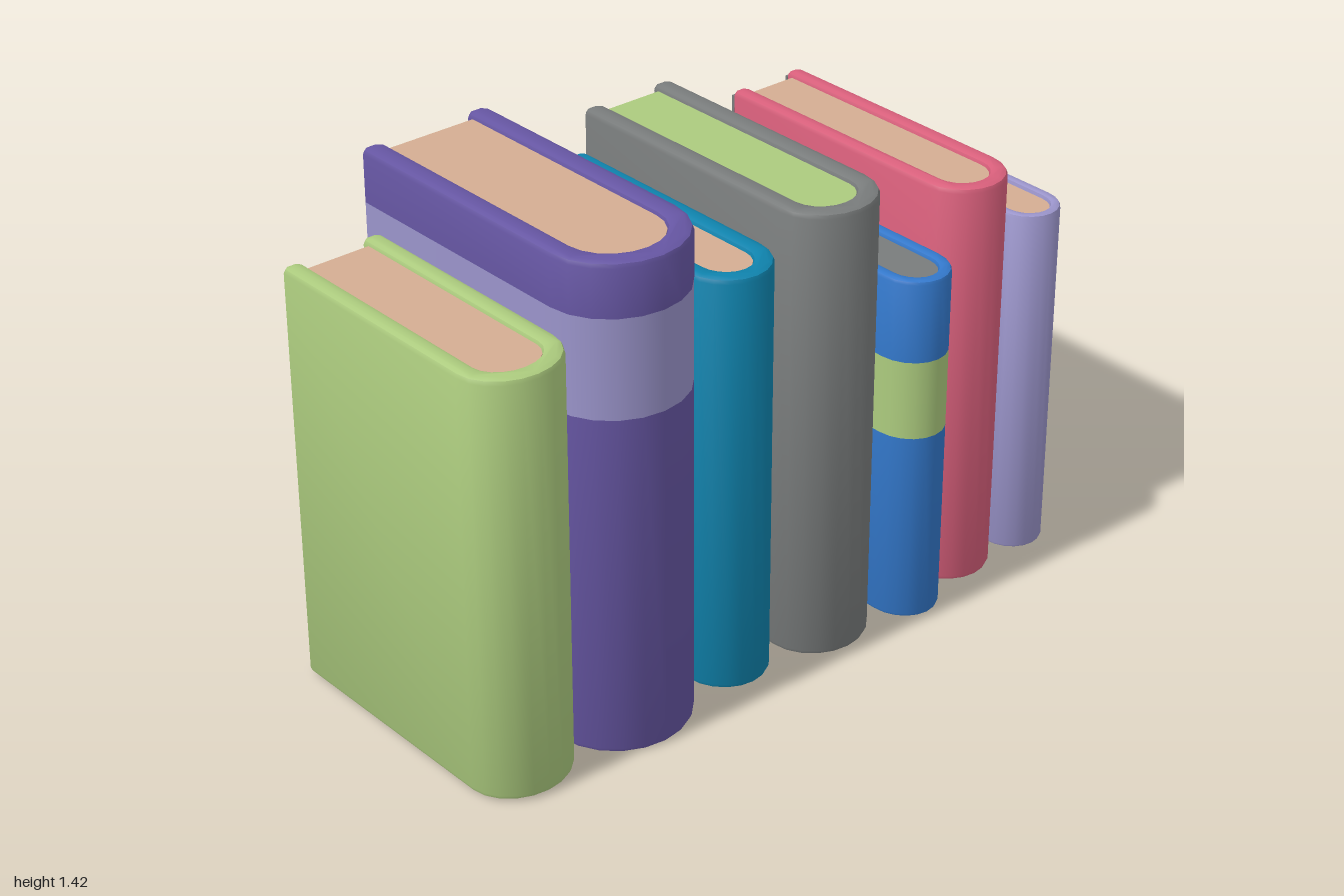
import * as THREE from 'three';
import { toCreasedNormals } from 'three/addons/utils/BufferGeometryUtils.js';

const COLORS = {
  green: 0xaccb7e, purple: 0x6656a3, lavender: 0x9a94ca, teal: 0x0f83ad, grey: 0x797c7c,
  blue: 0x3378cb, pink: 0xd85f7b, paper: 0xd4ad92, agedPaper: 0xcb8e66,
};

// Stack of cross-sections closed by caps; each level is { y, ring, mat }, mat colours the span up to it
function loft(levels, materials) {
  const pos = [], groups = [], used = [];
  const slot = (name) => {
    if (!used.includes(name)) used.push(name);
    return used.indexOf(name);
  };
  const put = (level, i) => pos.push(level.ring[i].x, level.y, level.ring[i].y);
  const span = (name, fill) => {
    const start = pos.length / 3;
    fill();
    groups.push([start, pos.length / 3 - start, slot(name)]);
  };
  const cap = (level, flip) => THREE.ShapeUtils.triangulateShape(level.ring, []).forEach(([a, b, c]) => {
    (flip ? [a, c, b] : [a, b, c]).forEach((i) => put(level, i));
  });
  const n = levels[0].ring.length, last = levels[levels.length - 1];
  span(levels[0].mat, () => cap(levels[0], false));
  for (let k = 1; k < levels.length; k++) {
    const lo = levels[k - 1], hi = levels[k];
    span(hi.mat, () => {
      for (let i = 0; i < n; i++) {
        const j = (i + 1) % n;
        put(lo, i); put(hi, i); put(hi, j);
        put(lo, i); put(hi, j); put(lo, j);
      }
    });
  }
  span(last.mat, () => cap(last, true));
  const geo = new THREE.BufferGeometry();
  geo.setAttribute('position', new THREE.Float32BufferAttribute(pos, 3));
  groups.forEach((g) => geo.addGroup(...g));
  return new THREE.Mesh(toCreasedNormals(geo, 0.65), used.map((name) => materials[name]));
}

// Half ellipse of the spine, from +x round the front to -x
function spineArc(w, zs, d) {
  const pts = [];
  for (let i = 0; i <= 10; i++) {
    const a = (i / 10) * Math.PI;
    pts.push(new THREE.Vector2(w * Math.cos(a), zs + d * Math.sin(a)));
  }
  return pts;
}

// U-shaped cover section, shrunk on every side by an inset
function coverRing(b, inset) {
  const V = (x, z) => new THREE.Vector2(x, z);
  const w = b.w - inset, wi = b.w - b.t + inset, zb = b.zb + inset, c = b.t * 0.2;
  const zs = b.zf - b.d;
  return [
    V(w, zb + c), ...spineArc(w, zs, b.d - inset), V(-w, zb + c), V(-w + c, zb),
    V(-wi - c, zb), V(-wi, zb + c), ...spineArc(wi, zs, b.d - b.t + inset).reverse(),
    V(wi, zb + c), V(wi + c, zb), V(w - c, zb),
  ];
}

function pageRing(b, inset = 0) {
  const w = b.w - b.t, zb = b.pageBack + inset;
  return [new THREE.Vector2(w, zb), ...spineArc(w, b.zf - b.d, b.d - b.t), new THREE.Vector2(-w, zb)];
}

function makeBook(b, materials) {
  const book = new THREE.Group();
  b.w = (b.x1 - b.x0) / 2;
  const bevel = Math.min(0.015, b.t * 0.3), y0 = b.y0 ?? 0.005;

  // Cover with softened top and bottom edges and an optional band
  const level = (y, inset, mat = b.color) => ({ y, ring: coverRing(b, inset), mat });
  const levels = [level(y0, bevel), level(y0 + bevel * 0.3, bevel * 0.3), level(y0 + bevel, 0)];
  if (b.band) levels.push(level(b.band[0], 0), level(b.band[1], 0, b.band[2]));
  levels.push(level(b.h - bevel, 0), level(b.h - bevel * 0.3, bevel * 0.3), level(b.h, bevel));
  const cover = loft(levels, materials);
  cover.name = 'cover';

  // Page block, coloured in layers from the bottom up
  const pages = loft([
    { y: y0 + 0.003, ring: pageRing(b), mat: b.under ?? b.pages[0][1] },
    ...b.pages.map(([y, mat]) => ({ y, ring: pageRing(b), mat })),
    { y: b.h - 0.012, ring: pageRing(b, 0.012), mat: b.pages[b.pages.length - 1][1] },
  ], materials);
  pages.name = 'pages';
  book.add(cover, pages);

  // Thin edging on the open ends of the cover
  if (b.edging) {
    for (const side of [-1, 1]) {
      const plate = new THREE.Mesh(
        new THREE.BoxGeometry(b.t * 0.96, b.h - y0 - 2 * bevel, 0.009), materials[b.edging]);
      plate.position.set(side * (b.w - b.t / 2), (b.h + y0) / 2, b.zb + 0.0035);
      plate.name = 'coverEdging';
      book.add(plate);
    }
  }
  book.position.x = (b.x0 + b.x1) / 2;
  book.name = b.name;
  return book;
}

export function createModel() {
  const materials = {};
  for (const [name, color] of Object.entries(COLORS)) {
    materials[name] = new THREE.MeshStandardMaterial({ color });
    materials[name].name = name;
  }

  // x0/x1 sides, h top, zb/zf back and front, d spine depth, t cover thickness
  const paper = (split, top) => [[split, 'agedPaper'], [top, 'paper']];
  const books = [
    { name: 'greenBook', color: 'green', x0: -1, x1: -0.7, h: 1.22, zb: -0.405, zf: 0.44,
      d: 0.13, t: 0.055, pageBack: -0.385, pages: paper(0.28, 1.195) },
    { name: 'purpleBook', color: 'purple', x0: -0.685, x1: -0.285, h: 1.42, y0: 0, zb: -0.49, zf: 0.465,
      d: 0.19, t: 0.065, pageBack: -0.47, pages: paper(0.86, 1.395), under: 'purple',
      band: [0.99, 1.27, 'lavender'] },
    { name: 'tealBook', color: 'teal', x0: -0.265, x1: -0.015, h: 1.23, zb: -0.42, zf: 0.42,
      d: 0.13, t: 0.055, pageBack: -0.4, pages: paper(0.74, 1.205) },
    { name: 'greyBook', color: 'grey', x0: 0.015, x1: 0.315, h: 1.33, zb: -0.457, zf: 0.462,
      d: 0.14, t: 0.06, pageBack: -0.44, pages: [[0.92, 'green'], [1.24, 'paper'], [1.305, 'green']] },
    { name: 'blueBook', color: 'blue', x0: 0.335, x1: 0.535, h: 1.05, y0: 0.015, zb: -0.472, zf: 0.49,
      d: 0.11, t: 0.036, pageBack: -0.455, pages: [[1.025, 'grey']], band: [0.58, 0.81, 'green'] },
    { name: 'pinkBook', color: 'pink', x0: 0.555, x1: 0.805, h: 1.22, zb: -0.465, zf: 0.43,
      d: 0.125, t: 0.05, pageBack: -0.45, pages: paper(0.71, 1.195), edging: 'grey' },
    { name: 'lavenderBook', color: 'lavender', x0: 0.82, x1: 1, h: 1.06, y0: 0.013, zb: -0.472, zf: 0.428,
      d: 0.095, t: 0.028, pageBack: -0.458, pages: paper(0.64, 1.035) },
  ];

  const model = new THREE.Group();
  model.name = 'bookRow';
  books.forEach((b) => model.add(makeBook(b, materials)));
  return model;
}
